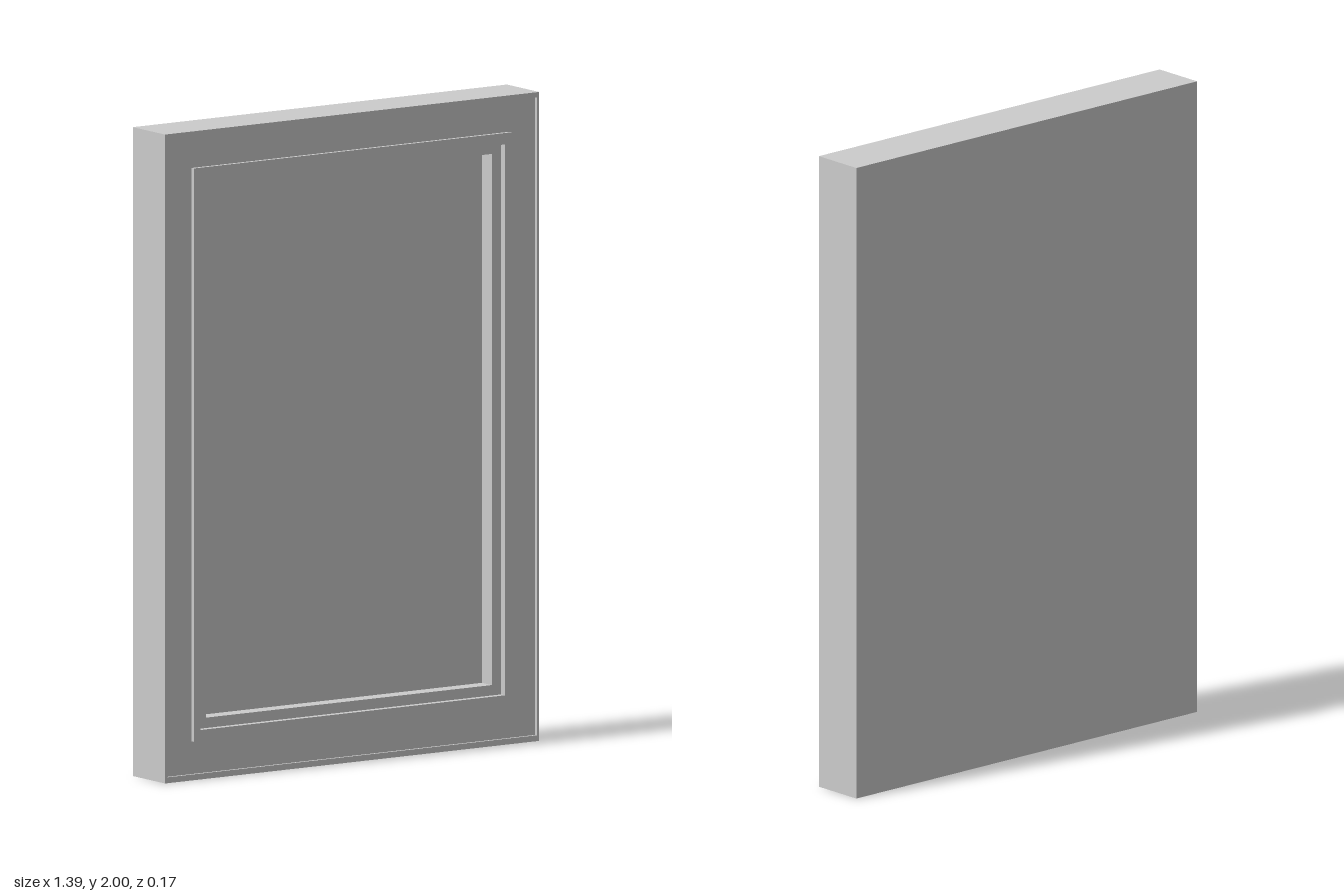
import * as THREE from 'three';

const BACK = -0.087;

// Trace a rectangle given as [half width, bottom, top]
function traceRect(path, [w, y0, y1]) {
  path.moveTo(-w, y0);
  path.lineTo(w, y0);
  path.lineTo(w, y1);
  path.lineTo(-w, y1);
  path.closePath();
  return path;
}

export function createModel() {
  const group = new THREE.Group();
  const material = new THREE.MeshStandardMaterial({ color: 0xcccccc });

  // Nested rectangles, from the outside edge to the opening
  const outer = [0.696, 0, 2];
  const lipInner = [0.687, 0.018, 1.984];
  const mouldOuter = [0.591, 0.119, 1.886];
  const mouldInner = [0.567, 0.153, 1.851];
  const opening = [0.532, 0.185, 1.822];

  // Each ring runs from the back plane to its own front height
  function addRing(name, rect, hole, front) {
    const shape = traceRect(new THREE.Shape(), rect);
    if (hole) shape.holes.push(traceRect(new THREE.Path(), hole));
    const geometry = new THREE.ExtrudeGeometry(shape, { depth: front - BACK, bevelEnabled: false });
    geometry.translate(0, 0, BACK);
    const mesh = new THREE.Mesh(geometry, material);
    mesh.name = name;
    group.add(mesh);
  }

  addRing('outerLip', outer, lipInner, 0.084);
  addRing('frameFace', lipInner, mouldOuter, 0.075);
  addRing('raisedMoulding', mouldOuter, mouldInner, 0.087);
  addRing('innerStep', mouldInner, opening, 0.066);
  addRing('recessedPanel', opening, null, 0.014);

  return group;
}
